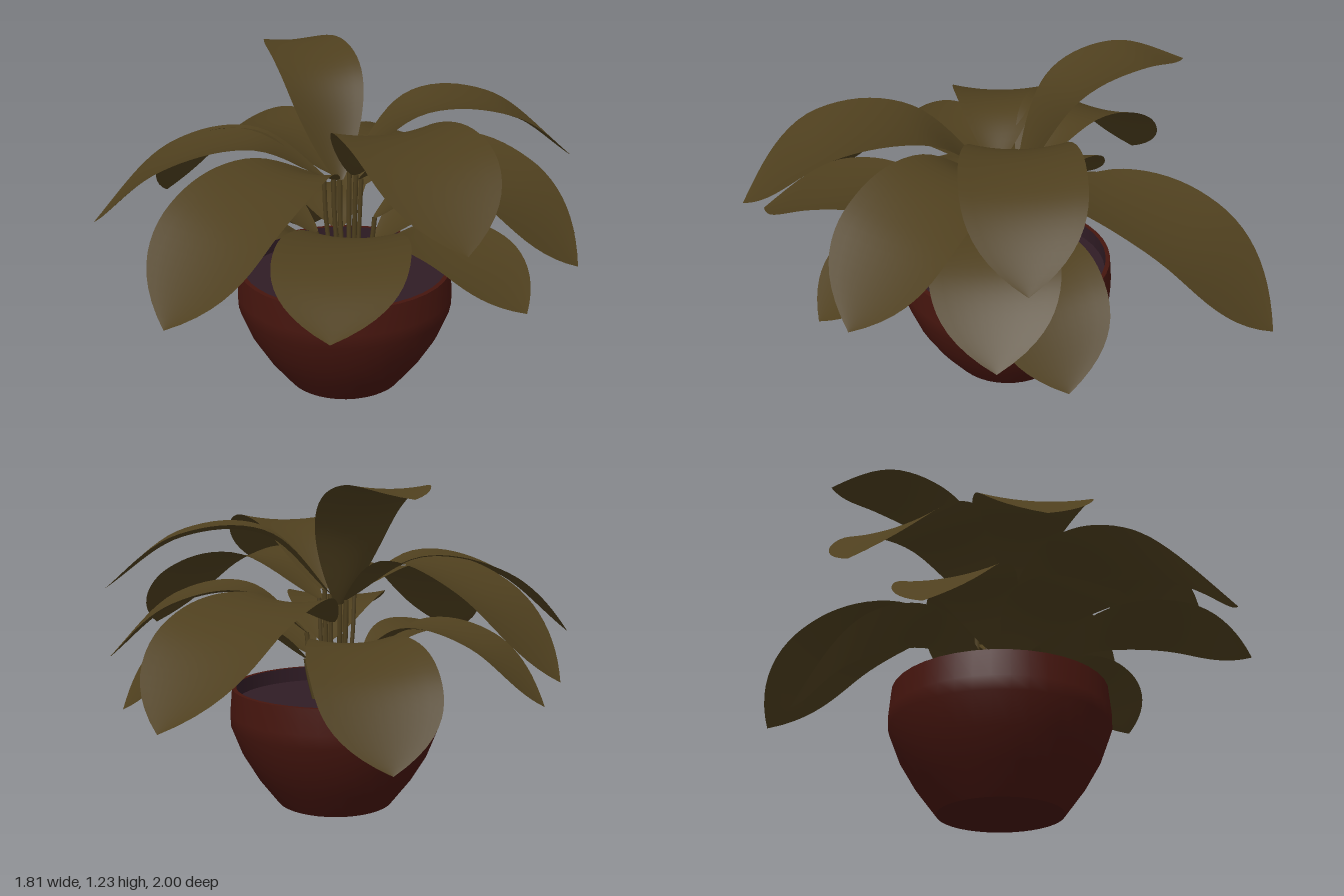
import * as THREE from 'three';

const leafMaterial = new THREE.MeshStandardMaterial({ color: 0x4e3f1e, side: THREE.DoubleSide });
const potMaterial = new THREE.MeshStandardMaterial({ color: 0x45150e });
const soilMaterial = new THREE.MeshStandardMaterial({ color: 0x301c25, side: THREE.DoubleSide });
const POT_X = 0.005, POT_Z = 0.07, SOIL_Y = 0.4;

// Lathe with straight facets in the profile, turned about the pot's axis
function turned(name, profile, material) {
  const points = profile.map(([r, y]) => new THREE.Vector2(r, y));
  const mesh = new THREE.Mesh(new THREE.LatheGeometry(points, 40), material);
  mesh.position.set(POT_X, 0, POT_Z);
  mesh.name = name;
  return mesh;
}

// Half-width of a blade along its length: narrow neck, full middle, short blunt tip
function outline(u) {
  const neck = 0.08 + 0.92 * Math.pow(Math.sin(Math.PI / 2 * Math.min(1, u / 0.56)), 0.85);
  const tip = u > 0.55 ? 1 - Math.pow((u - 0.55) / 0.45, 3.1) : 1;
  return neck * tip;
}

// Blade swept along its midrib, slightly cupped across
function bladeGeometry(midrib, halfWidth) {
  const rows = 28, cols = 10, positions = [], index = [];
  const a = midrib.getPoint(0), b = midrib.getPoint(1);
  const side = new THREE.Vector3(-(b.z - a.z), 0, b.x - a.x).normalize();
  for (let i = 0; i <= rows; i++) {
    const u = i / rows, w = halfWidth * outline(u);
    const centre = midrib.getPointAt(u);
    const normal = side.clone().cross(midrib.getTangentAt(u)).normalize();
    if (normal.y < 0) normal.negate();
    for (let j = 0; j <= cols; j++) {
      const v = j / cols * 2 - 1;
      const p = centre.clone().addScaledVector(side, v * w)
        .addScaledVector(normal, 0.16 * w * v * v * (1 - 0.6 * u));
      positions.push(p.x, p.y, p.z);
      if (i < rows && j < cols) {
        const k = i * (cols + 1) + j, n = k + cols + 1;
        index.push(k, k + 1, n, k + 1, n + 1, n);
      }
    }
  }
  const geometry = new THREE.BufferGeometry();
  geometry.setAttribute('position', new THREE.Float32BufferAttribute(positions, 3));
  geometry.setIndex(index);
  geometry.computeVertexNormals();
  return geometry;
}

// One leaf: start of blade, two heights along the arch, tip, half-width
function leaf(name, start, y1, y2, tip, halfWidth) {
  const group = new THREE.Group();
  group.name = name;
  const s = new THREE.Vector3(...start), t = new THREE.Vector3(...tip);
  const p1 = s.clone().lerp(t, 0.3).setY(y1);
  const p2 = s.clone().lerp(t, 0.66).setY(y2);
  const midrib = new THREE.CatmullRomCurve3([s, p1, p2, t]);
  const blade = new THREE.Mesh(bladeGeometry(midrib, halfWidth), leafMaterial);
  blade.name = 'blade';

  const foot = new THREE.Vector3(0.03 + (s.x - 0.03) * 0.6, SOIL_Y - 0.02, POT_Z + (s.z - POT_Z) * 0.6);
  const bend = new THREE.Vector3(s.x * 0.9, foot.y + (s.y - foot.y) * 0.6, s.z * 0.9 + POT_Z * 0.1);
  const path = new THREE.CatmullRomCurve3([foot, bend, s]);
  const stem = new THREE.Mesh(new THREE.TubeGeometry(path, 14, 0.009, 6), leafMaterial);
  stem.name = 'stem';
  group.add(blade, stem);
  return group;
}

export function createModel() {
  const model = new THREE.Group();
  model.name = 'pottedPlant';

  // Pot: outer wall, thin rim, inner wall and soil
  model.add(turned('pot', [[0, 0], [0.228, 0], [0.228, 0], [0.305, 0.1], [0.365, 0.2],
    [0.408, 0.31], [0.41, 0.36], [0.402, 0.458], [0.402, 0.458], [0.385, 0.458]], potMaterial));
  model.add(turned('soil', [[0.385, 0.458], [0.385, SOIL_Y], [0.385, SOIL_Y], [0, SOIL_Y]], soilMaterial));

  // Upper and lower whorls of leaves
  const upper = [
    [[-0.03, 0.72, -0.01], 0.83, 0.77, [-0.10, 0.51, -1.0], 0.235],
    [[-0.03, 0.78, 0.05], 1.13, 1.22, [-0.57, 1.19, -0.32], 0.165],
    [[0.0, 0.82, 0.03], 1.05, 1.04, [0.64, 0.85, -0.52], 0.205],
    [[0.07, 0.83, 0.09], 1.05, 1.06, [0.80, 0.86, 0.60], 0.22],
    [[-0.03, 0.82, 0.15], 0.95, 0.89, [-0.70, 0.66, 0.66], 0.195],
    [[0, 0.81, 0.13], 0.9, 0.82, [-0.02, 0.56, 1.0], 0.235],
    [[0.06, 0.8, 0.04], 0.95, 0.88, [0.90, 0.64, 0.0], 0.235],
    [[-0.06, 0.8, 0.05], 0.95, 0.86, [-0.91, 0.58, 0.08], 0.22],
  ];
  const lower = [
    [[0.13, 0.6, 0.18], 0.72, 0.73, [0.52, 0.62, 0.88], 0.215],
    [[0.12, 0.66, 0.04], 0.82, 0.78, [0.71, 0.57, -0.45], 0.215],
    [[-0.05, 0.58, 0.03], 0.67, 0.59, [-0.57, 0.32, -0.43], 0.225],
    [[0.11, 0.56, 0.02], 0.69, 0.64, [0.50, 0.42, -0.58], 0.215],
    [[0.13, 0.56, 0.1], 0.67, 0.67, [0.83, 0.54, 0.23], 0.19],
    [[-0.09, 0.58, 0.12], 0.7, 0.65, [-0.78, 0.44, 0.27], 0.185],
    [[-0.07, 0.55, 0.15], 0.65, 0.65, [-0.29, 0.58, 0.70], 0.175],
  ];
  upper.forEach((data, i) => model.add(leaf('upperLeaf' + (i + 1), ...data)));
  lower.forEach((data, i) => model.add(leaf('lowerLeaf' + (i + 1), ...data)));
  return model;
}
